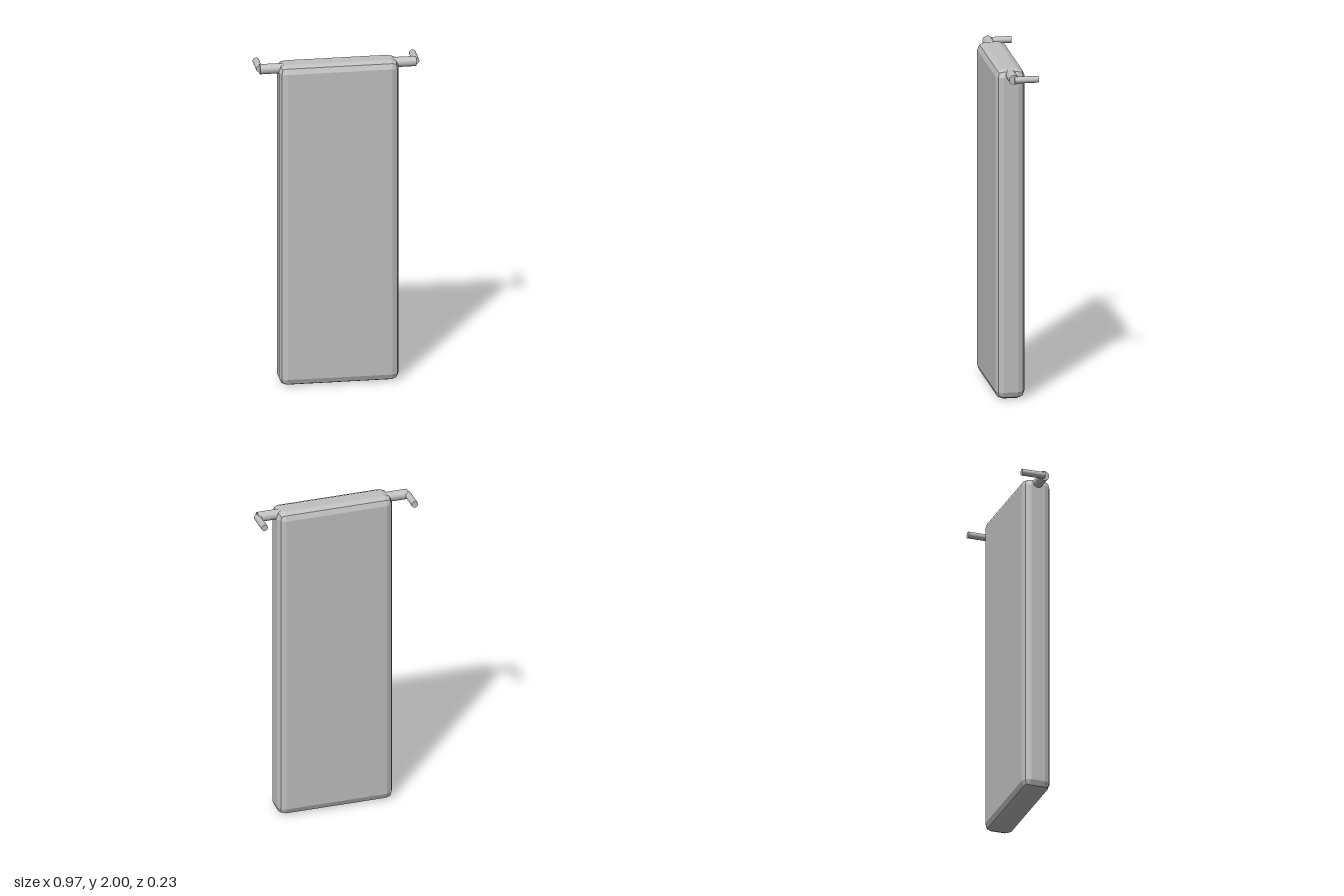
import * as THREE from 'three';
import { RoundedBoxGeometry } from 'three/addons/geometries/RoundedBoxGeometry.js';

export function createModel() {
  const model = new THREE.Group();
  model.name = 'hangingPanel';
  const grey = new THREE.MeshStandardMaterial({ color: 0xc0c0c0 });
  grey.name = 'grey';

  const add = (name, geometry, x, y, z) => {
    const mesh = new THREE.Mesh(geometry, grey);
    mesh.name = name;
    mesh.position.set(x, y, z);
    model.add(mesh);
    return mesh;
  };

  // Slab with a two-step bevel; unshared vertices keep its facets crisp
  const slab = new RoundedBoxGeometry(0.71, 2, 0.174, 1, 0.045);
  slab.computeVertexNormals();
  add('panel', slab, 0, 1, 0.025);

  // Rod through the top edge, with a thinner peg pointing back at each end
  const rodY = 1.968, rodZ = 0.025;
  const rod = new THREE.CylinderGeometry(0.03, 0.03, 0.926, 24);
  add('rod', rod.rotateZ(Math.PI / 2), 0, rodY, rodZ);

  const peg = new THREE.CylinderGeometry(0.02, 0.02, 0.142, 24).rotateX(Math.PI / 2);
  for (const side of [1, -1]) {
    add(side > 0 ? 'leftPeg' : 'rightPeg', peg, side * 0.464, rodY, rodZ - 0.071);
  }
  return model;
}
